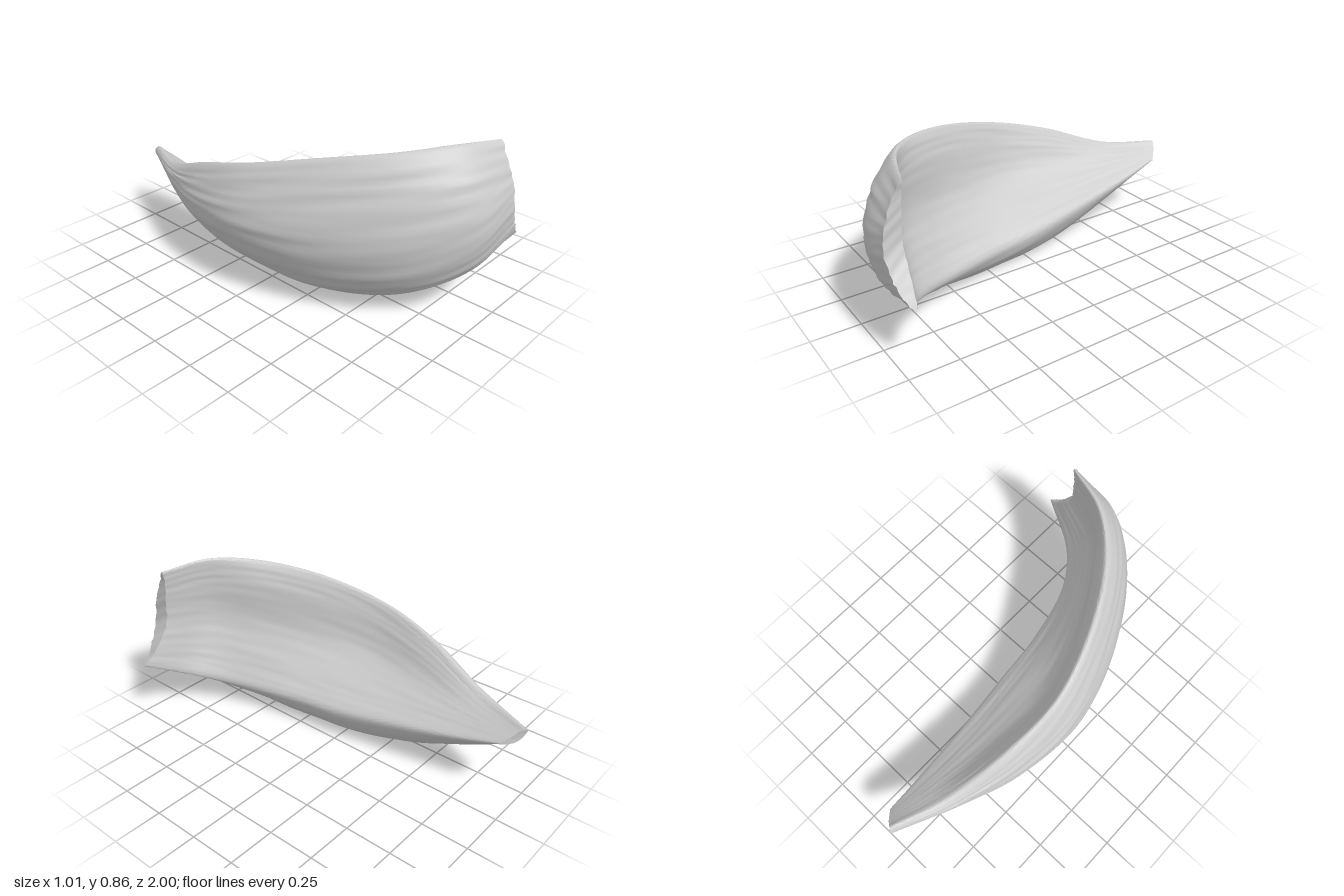
import * as THREE from 'three';
import { toCreasedNormals } from 'three/addons/utils/BufferGeometryUtils.js';

const NU = 120;      // steps along the length, front to back tip
const N = 56;        // steps across each face, rim to lower lip
const RING = 2 * N;

// Lengthwise guide curves, front end to back tip, listed around the section
const outerLines = [
  // rim
  [[0.34, 0.84, 0.89], [0.1, 0.86, 0.8], [-0.1, 0.835, 0.63], [-0.28, 0.775, 0.33], [-0.385, 0.68, -0.02], [-0.375, 0.585, -0.33], [-0.295, 0.445, -0.7], [-0.19, 0.425, -0.985]],
  // upper wall
  [[0.335, 0.72, 0.955], [0.08, 0.72, 0.91], [-0.14, 0.7, 0.73], [-0.35, 0.64, 0.38], [-0.46, 0.57, 0], [-0.44, 0.5, -0.34], [-0.345, 0.42, -0.67], [-0.205, 0.405, -1]],
  // widest line
  [[0.34, 0.57, 0.995], [0.08, 0.5, 0.975], [-0.18, 0.43, 0.77], [-0.4, 0.4, 0.4], [-0.505, 0.4, 0], [-0.47, 0.38, -0.35], [-0.36, 0.38, -0.66], [-0.21, 0.385, -0.995]],
  // lower wall
  [[0.39, 0.42, 0.985], [0.12, 0.29, 0.94], [-0.1, 0.19, 0.75], [-0.3, 0.13, 0.36], [-0.4, 0.17, 0], [-0.4, 0.215, -0.35], [-0.325, 0.29, -0.67], [-0.195, 0.36, -0.985]],
  // keel
  [[0.45, 0.35, 0.965], [0.2, 0.215, 0.885], [0.02, 0.08, 0.66], [-0.085, 0.005, 0.3], [-0.115, 0.01, 0], [-0.165, 0.05, -0.33], [-0.19, 0.185, -0.68], [-0.16, 0.34, -0.965]],
];
const innerLines = [
  // lower lip
  [[0.505, 0.32, 0.94], [0.26, 0.195, 0.82], [0.13, 0.145, 0.65], [0.035, 0.15, 0.3], [0.0, 0.17, 0], [-0.045, 0.215, -0.33], [-0.085, 0.28, -0.68], [-0.11, 0.34, -0.92]],
  // lower inside
  [[0.43, 0.39, 0.915], [0.19, 0.31, 0.805], [0.06, 0.265, 0.61], [-0.04, 0.25, 0.3], [-0.09, 0.26, 0], [-0.125, 0.285, -0.33], [-0.135, 0.325, -0.68], [-0.13, 0.365, -0.94]],
  // middle inside
  [[0.34, 0.56, 0.905], [0.11, 0.52, 0.81], [-0.05, 0.48, 0.6], [-0.19, 0.44, 0.3], [-0.275, 0.42, 0], [-0.265, 0.4, -0.33], [-0.21, 0.38, -0.68], [-0.15, 0.385, -0.96]],
  // upper inside
  [[0.335, 0.74, 0.895], [0.1, 0.74, 0.795], [-0.07, 0.72, 0.6], [-0.24, 0.67, 0.31], [-0.345, 0.6, -0.01], [-0.335, 0.53, -0.32], [-0.26, 0.42, -0.69], [-0.17, 0.405, -0.975]],
];
const guides = [...outerLines, ...innerLines].map(
  (pts) => new THREE.CatmullRomCurve3(pts.map((p) => new THREE.Vector3(...p))));
const LIP = outerLines.length / guides.length;

// Closed cross-section at a point along the length
function section(u) {
  return new THREE.CatmullRomCurve3(guides.map((g) => g.getPoint(u)), true);
}

// Shallow streaks along the wall, strongest on the outside
function wrinkle(u, t) {
  const side = t < LIP ? t / LIP : (1 - t) / (1 - LIP);
  const fade = Math.min(1, 8 * side, 8 * (1 - side)) * Math.min(1, 5 * (1 - u)) * (t < LIP ? 1 : 0.4);
  const a = Math.sin(62 * side + 5 * Math.sin(4 * u + 1)) * Math.sin(9 * u + 17 * side);
  const b = Math.sin(105 * side - 9 * u) * Math.sin(14 * u - 11 * side + 2);
  return fade * (0.003 * a + 0.002 * b);
}

function buildShell() {
  const positions = [];
  const index = [];

  for (let i = 0; i <= NU; i++) {
    const u = i / NU;
    const here = section(u);
    const before = section(Math.max(0, u - 0.01));
    const after = section(Math.min(1, u + 0.01));
    for (let k = 0; k < RING; k++) {
      const t = k <= N ? (LIP * k) / N : LIP + ((1 - LIP) * (k - N)) / N;
      const p = here.getPoint(t);
      const du = after.getPoint(t).sub(before.getPoint(t)).normalize();
      const dv = here.getPoint((t + 0.005) % 1).sub(here.getPoint((t + 0.995) % 1));
      const n = du.clone().cross(dv).normalize();
      p.addScaledVector(n, wrinkle(u, t));
      // slightly ragged torn front end
      if (i === 0) p.addScaledVector(du, 0.004 * Math.sin(27 * p.y) + 0.002 * Math.sin(90 * p.y));
      positions.push(p.x, p.y, p.z);
    }
  }

  // skin around the section
  for (let i = 0; i < NU; i++) {
    for (let k = 0; k < RING; k++) {
      const k2 = (k + 1) % RING;
      const a = i * RING + k, b = a + RING, c = (i + 1) * RING + k2, d = i * RING + k2;
      index.push(a, b, c, a, c, d);
    }
  }
  // end faces
  const back = NU * RING;
  for (let j = 0; j < N; j++) {
    const j2 = j + 1, n = (RING - j) % RING, n2 = RING - j2;
    index.push(j, j2, n2, j, n2, n);
    index.push(back + j, back + n2, back + j2, back + j, back + n, back + n2);
  }

  const geometry = new THREE.BufferGeometry();
  geometry.setAttribute('position', new THREE.Float32BufferAttribute(positions, 3));
  geometry.setIndex(index);
  return toCreasedNormals(geometry, 0.9);
}

export function createModel() {
  const group = new THREE.Group();
  group.name = 'curvedPeel';
  const material = new THREE.MeshStandardMaterial({ color: 0xcccccc });
  const shell = new THREE.Mesh(buildShell(), material);
  shell.name = 'peelShell';
  group.add(shell);
  return group;
}
